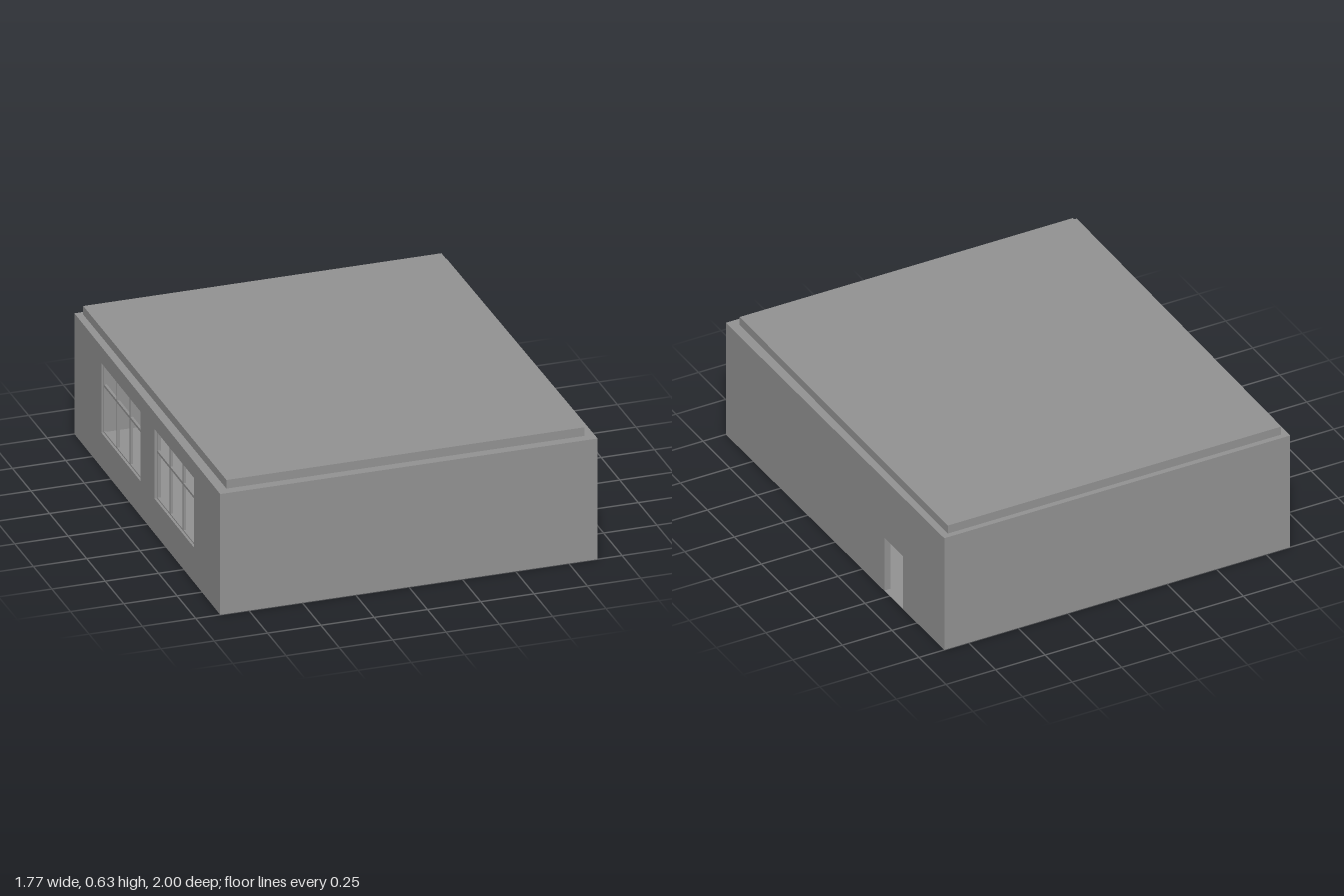
import * as THREE from 'three';

const H = 0.59;       // wall height
const W = 0.8787;     // mean half width
const T = 0.03;       // wall thickness
const FLOOR = 0.002;  // floor thickness
const SILL = 0.17, HEAD = 0.51;
const WINDOWS = [[-0.63, -0.09], [0.1, 0.64]];   // z ranges

const material = new THREE.MeshStandardMaterial({ color: 0x939393, flatShading: true });

// The plan widens slightly towards the front
function taper(geometry) {
  const p = geometry.attributes.position;
  for (let i = 0; i < p.count; i++) p.setX(i, p.getX(i) * (1 + 0.0072 * p.getZ(i)));
  geometry.computeVertexNormals();
  return geometry;
}

function rectPath(z0, z1, y0, y1, Type = THREE.Path) {
  // shapes are drawn with their x axis along -z
  return new Type([[-z0, y0], [-z0, y1], [-z1, y1], [-z1, y0]].map(([a, b]) => new THREE.Vector2(a, b)));
}

// Extrudes a (z, y) outline along x, starting at x
function sidePanel(shape, x, depth) {
  const g = new THREE.ExtrudeGeometry(shape, { depth, bevelEnabled: false });
  return taper(g.rotateY(Math.PI / 2).translate(x, 0, 0));
}

function box(x0, x1, y0, y1, z0, z1) {
  return new THREE.BoxGeometry(x1 - x0, y1 - y0, z1 - z0)
    .translate((x0 + x1) / 2, (y0 + y1) / 2, (z0 + z1) / 2);
}

export function createModel() {
  const group = new THREE.Group();
  const add = (name, geometry) => {
    const mesh = new THREE.Mesh(geometry, material);
    mesh.name = name;
    group.add(mesh);
  };

  // Left wall, notched for the doorway
  const doorWall = new THREE.Shape([
    [-1, FLOOR], [0.452, FLOOR], [0.452, 0.28], [0.62, 0.28], [0.62, FLOOR], [1, FLOOR], [1, H], [-1, H],
  ].map(([a, b]) => new THREE.Vector2(a, b)));
  add('doorWall', sidePanel(doorWall, W - T, T));

  // Right wall with two window openings
  const windowWall = rectPath(-1, 1, FLOOR, H, THREE.Shape);
  for (const [z0, z1] of WINDOWS) windowWall.holes.push(rectPath(z0, z1, SILL, HEAD));
  add('windowWall', sidePanel(windowWall, -W, T));

  // Front and back walls
  add('frontWall', taper(box(-W + T, W - T, FLOOR, H, 1 - T, 1)));
  add('backWall', taper(box(-W + T, W - T, FLOOR, H, -1, -1 + T)));

  // Floor running under the walls, ceiling and raised roof slab
  add('floor', taper(box(-W, W, 0, FLOOR, -1, 1)));
  add('ceiling', taper(box(-W + T, W - T, H - 0.01, H, -1 + T, 1 - T)));
  add('roofSlab', box(-0.84, 0.84, H, 0.632, -0.974, 0.955));

  // Window frames: three columns, low transom with small panes above
  for (const [z0, z1] of WINDOWS) {
    const frame = rectPath(z0, z1, SILL, HEAD, THREE.Shape);
    const step = (z1 - z0) / 3, b = 0.006;
    for (let i = 0; i < 3; i++) {
      for (const [y0, y1] of [[SILL, 0.4], [0.4, HEAD]]) {
        frame.holes.push(rectPath(z0 + i * step + b, z0 + (i + 1) * step - b, y0 + b, y1 - b));
      }
    }
    add('windowFrame', sidePanel(frame, -W + 0.011, 0.012));
  }
  return group;
}
